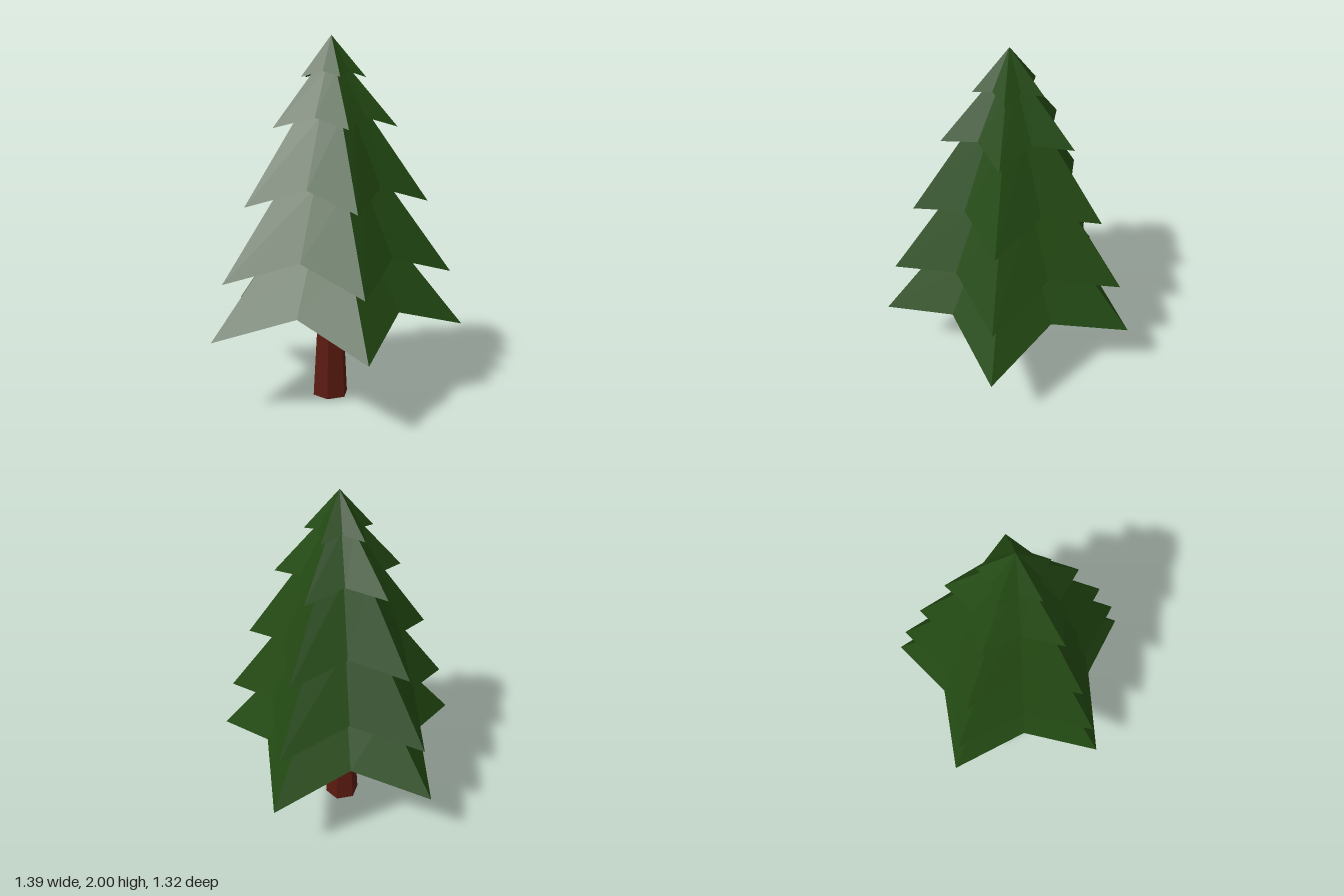
import * as THREE from 'three';

const CENTRE_Z = 0.07;
const POINTS = 5;
const VALLEY = 0.635; // valley radius relative to tip radius

// Tiers from the bottom up: tip radius, tip height, valley height
const TIERS = [
  { r: 0.73, tipY: 0.43, valleyY: 0.57 },
  { r: 0.66, tipY: 0.73, valleyY: 0.85 },
  { r: 0.527, tipY: 1.12, valleyY: 1.212 },
  { r: 0.357, tipY: 1.52, valleyY: 1.575 },
  { r: 0.187, tipY: 1.78, valleyY: 1.81 },
];
const APEX_Y = 2;

// Ring of alternating tips and valleys; the first tip points backwards
function starRing(tipR, valleyR, tipY, valleyY) {
  const ring = [];
  for (let i = 0; i < POINTS * 2; i++) {
    const a = (i * Math.PI) / POINTS;
    const r = i % 2 ? valleyR : tipR;
    ring.push([Math.sin(a) * r, i % 2 ? valleyY : tipY, -Math.cos(a) * r]);
  }
  return ring;
}

function tierGeometry(tier, above) {
  const n = POINTS * 2;
  const rim = starRing(tier.r, tier.r * VALLEY, tier.tipY, tier.valleyY);
  const topR = above ? above.r * VALLEY * 0.93 : 0;
  const topY = above ? above.valleyY : APEX_Y;
  const top = starRing(topR, topR * 0.75, topY, topY);
  const centre = [0, tier.valleyY, 0];
  const positions = [];
  const tri = (...corners) => corners.forEach((c) => positions.push(...c));

  for (let i = 0; i < n; i++) {
    const j = (i + 1) % n;
    // sloping outer wall
    tri(rim[j], rim[i], top[i]);
    if (above) tri(rim[j], top[i], top[j]);
    // underside: a drooping triangle per tip and a flat pentagon inside
    if (i % 2 === 0) {
      const prev = rim[(i + n - 1) % n];
      tri(prev, rim[i], rim[j]);
      tri(centre, prev, rim[j]);
    }
  }
  const geometry = new THREE.BufferGeometry();
  geometry.setAttribute('position', new THREE.Float32BufferAttribute(positions, 3));
  geometry.computeVertexNormals();
  return geometry;
}

export function createModel() {
  const tree = new THREE.Group();
  tree.name = 'pineTree';

  const bark = new THREE.MeshStandardMaterial({ color: 0x5a1a10, flatShading: true });
  const needles = new THREE.MeshStandardMaterial({ color: 0x224812, flatShading: true });

  // Tapered six-sided trunk
  const trunk = new THREE.Mesh(new THREE.CylinderGeometry(0.07, 0.102, 0.57, 6), bark);
  trunk.name = 'trunk';
  trunk.position.set(0, 0.285, CENTRE_Z);
  tree.add(trunk);

  // Star-shaped foliage tiers
  const foliage = new THREE.Group();
  foliage.name = 'foliage';
  foliage.position.z = CENTRE_Z;
  TIERS.forEach((tier, i) => {
    const mesh = new THREE.Mesh(tierGeometry(tier, TIERS[i + 1]), needles);
    mesh.name = `foliageTier${i + 1}`;
    foliage.add(mesh);
  });
  tree.add(foliage);

  return tree;
}
